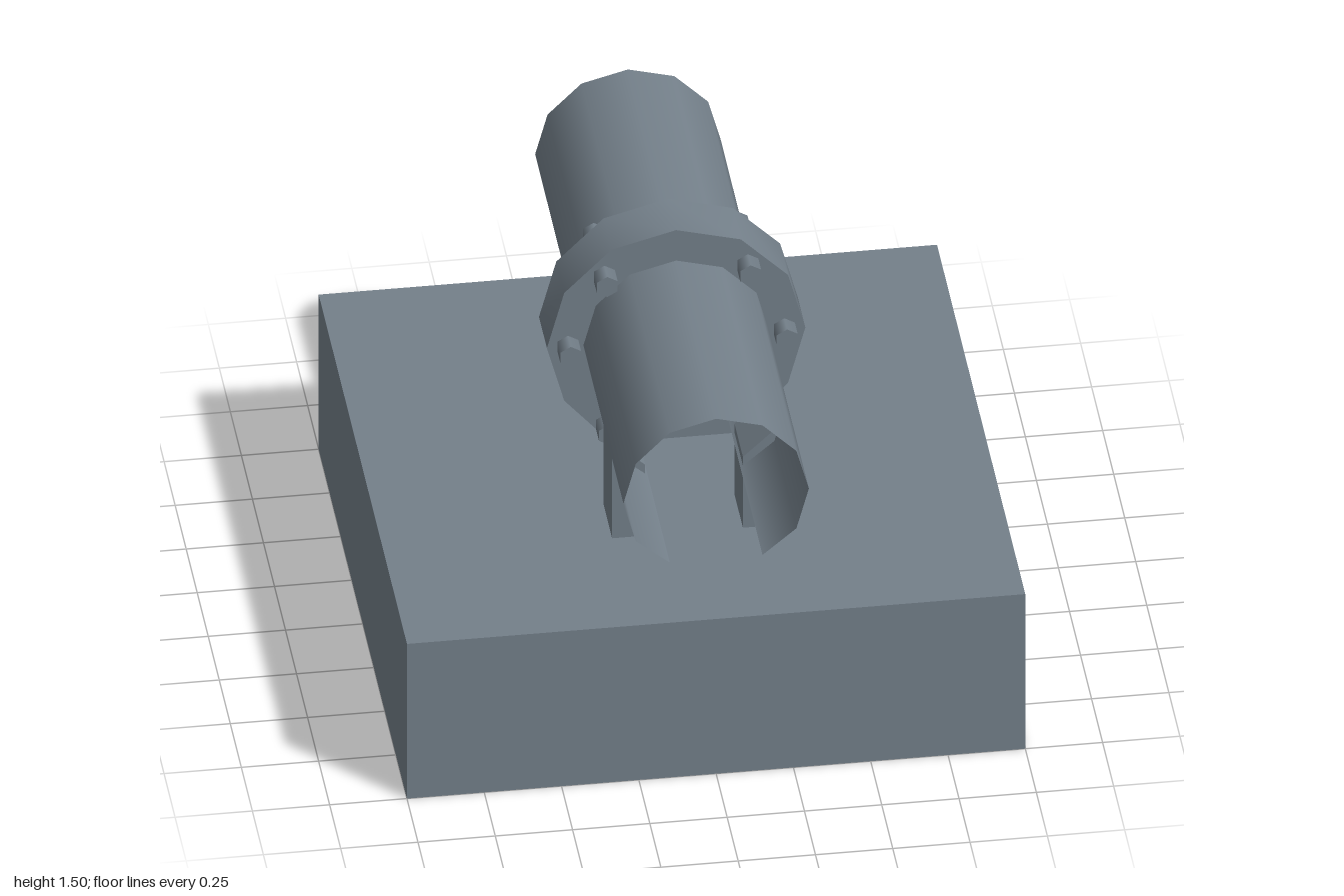
import * as THREE from 'three';
import { toCreasedNormals } from 'three/addons/utils/BufferGeometryUtils.js';

const AXIS_Y = 1.077; // height of the pipe axis

export function createModel() {
  const group = new THREE.Group();
  const steel = new THREE.MeshStandardMaterial({ color: 0x74808a, side: THREE.DoubleSide });

  const add = (name, geometry, x = 0, y = 0, z = 0) => {
    const mesh = new THREE.Mesh(geometry, steel);
    mesh.name = name;
    mesh.position.set(x, y, z);
    group.add(mesh);
    return mesh;
  };
  const extrude = (points, depth) => new THREE.ExtrudeGeometry(
    new THREE.Shape(points.map(([x, y]) => new THREE.Vector2(x, y))),
    { depth, bevelEnabled: false });

  // Base block: a box with no underside
  const box = new THREE.BoxGeometry(2, 0.6, 2);
  const index = Array.from(box.index.array);
  index.splice(18, 6); // drop the -y face
  box.setIndex(index);
  box.clearGroups();
  add('base', box, 0, 0.3, 0);

  // Thin pipe, open at both ends and along the bottom
  const pipe = new THREE.CylinderGeometry(0.3, 0.3, 2, 10, 1, true, Math.PI / 6, Math.PI * 5 / 3);
  pipe.rotateX(Math.PI / 2);
  const pos = pipe.attributes.position;
  for (let i = 0; i < pos.count; i++) pos.setY(i, Math.max(pos.getY(i), -0.243));
  add('pipe', pipe, 0, AXIS_Y, 0);

  // Flange: twelve-sided disc with a flat bottom
  const rim = [];
  for (let i = -5; i <= 5; i++) {
    const a = i * Math.PI / 6;
    const y = Math.abs(i) === 5 ? -0.387 : 0.418 * Math.cos(a);
    rim.push([-0.418 * Math.sin(a), y]);
  }
  add('flange', toCreasedNormals(extrude(rim, 0.18), 0.6), 0, AXIS_Y, -0.086);

  // Hexagonal bolts on both faces of the flange
  const bolt = new THREE.CylinderGeometry(0.039, 0.039, 0.31, 6);
  bolt.rotateX(Math.PI / 2);
  for (const [x, y] of [[0.232, 1.34], [0.35, 1.08], [0.225, 0.765]]) {
    for (const side of [-1, 1]) add('bolt', bolt, side * x, y, 0.003);
  }

  // Four legs with slanted tops
  for (const side of [-1, 1]) {
    const outline = [[0.158, 0.6], [0.265, 0.6], [0.265, 0.975], [0.158, 0.875]]
      .map(([x, y]) => [side * x, y]);
    const leg = extrude(outline, 0.19);
    add('frontLeg', leg, 0, 0, 0.31);
    add('backLeg', leg, 0, 0, -0.48);
  }

  return group;
}
